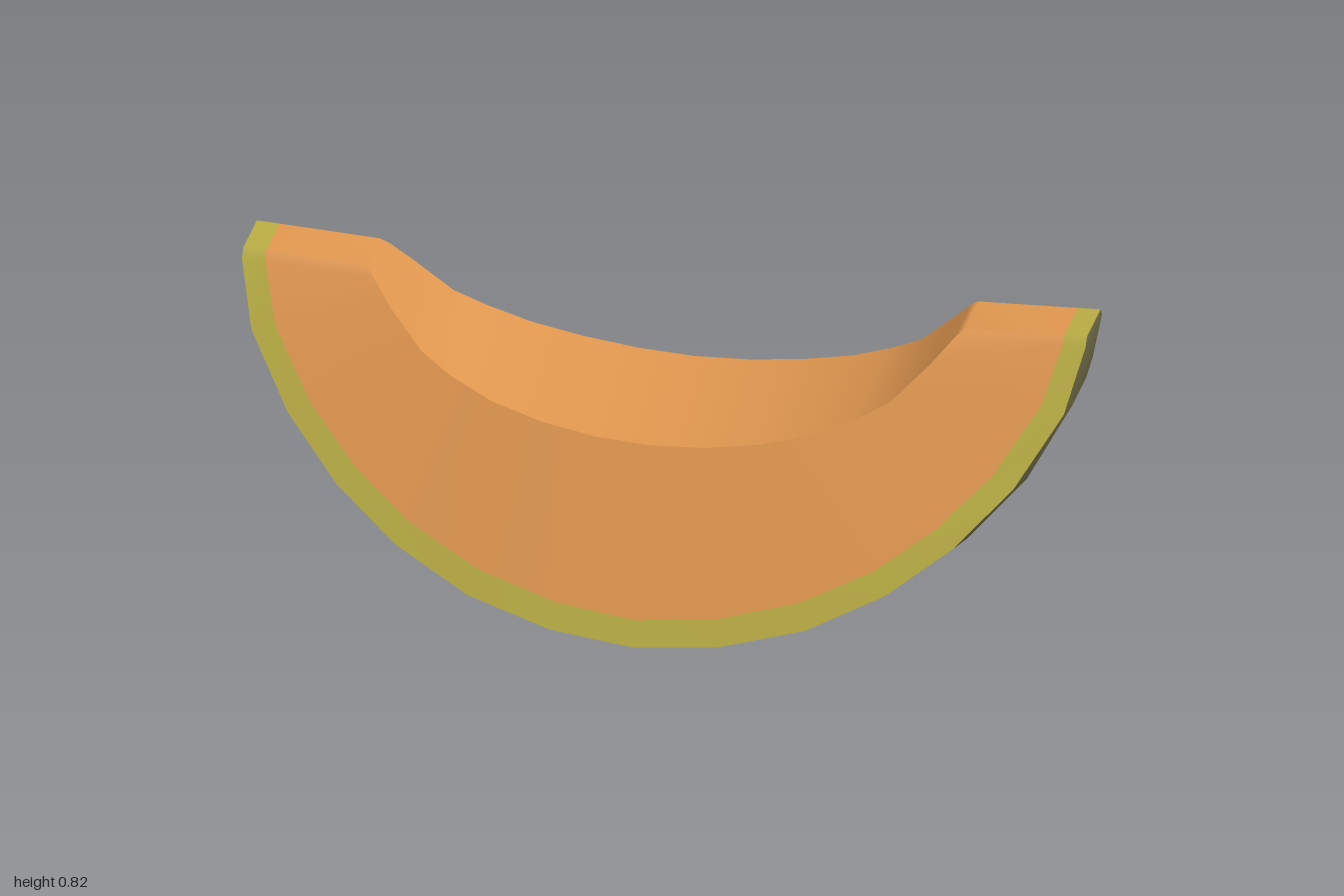
import * as THREE from 'three';

// Half of the wedge, from the middle (first) to the tip (last).
const outer = [[0, 0], [0.2, 0.022], [0.4, 0.083], [0.58, 0.177], [0.735, 0.305], [0.865, 0.455], [0.965, 0.64], [1, 0.8], [1, 0.823]];
const edge = [[0, 0.064], [0.2, 0.084], [0.4, 0.138], [0.58, 0.23], [0.73, 0.345], [0.86, 0.485], [0.963, 0.655], [1, 0.803], [1, 0.823]];
const edgeZ = [0.4, 0.392, 0.368, 0.33, 0.282, 0.22, 0.15, 0.085, 0.07];
const inner = [[0, 0.505], [0.13, 0.512], [0.26, 0.532], [0.38, 0.563], [0.48, 0.605], [0.555, 0.648], [0.64, 0.735], [0.69, 0.793], [0.71, 0.81]];
const innerZ = [0.23, 0.228, 0.22, 0.205, 0.184, 0.16, 0.122, 0.085, 0.07];
const TIP = 8;

// Cross-section at station s (-8 to 8): points named by role, with front and back z.
function section(s) {
  const i = Math.abs(s), side = Math.sign(s) || 1;
  const at = ([x, y], z) => new THREE.Vector3(side * x, y, z);
  const band = 0.135 + 0.05 * i / TIP;
  const ring = (z) => {
    const e = at(edge[i], z * edgeZ[i]), n = at(inner[i], z * innerZ[i]);
    return { outer: at(outer[i], z * edgeZ[i] * (i < 7 ? 0.5 : 0.6)), edge: e, band: e.clone().lerp(n, band), inner: n };
  };
  return { front: ring(1), back: ring(-1) };
}

// Smooth surface through rows of points; rows run along +x.
function surface(rows) {
  const n = rows[0].length, index = [];
  for (let r = 0; r < rows.length - 1; r++) {
    for (let c = 0; c < n - 1; c++) {
      const a = r * n + c, b = a + n;
      index.push(a, b, a + 1, b, b + 1, a + 1);
    }
  }
  const geometry = new THREE.BufferGeometry().setFromPoints(rows.flat());
  geometry.setIndex(index);
  geometry.computeVertexNormals();
  return geometry;
}

export function createModel() {
  const paint = (name, color) => Object.assign(new THREE.MeshStandardMaterial({ color }), { name });
  const skin = paint('dark green skin', 0x746f4a);
  const rind = paint('yellow green rind', 0xb8ac42);
  const flesh = paint('orange flesh', 0xe0974f);

  const group = new THREE.Group();
  group.name = 'melonSlice';
  const add = (name, rows, material) => {
    const mesh = new THREE.Mesh(surface(rows), material);
    mesh.name = name;
    group.add(mesh);
  };

  const sections = Array.from({ length: 2 * TIP + 1 }, (_, k) => section(k - TIP));
  const first = sections[0], last = sections[2 * TIP];
  const across = (s, role) => [s.front[role], s.back[role]];

  // Outer skin, wrapping under the wedge
  add('skin', sections.map(({ front, back }) => [back.edge, back.outer, front.outer, front.edge]), skin);

  // Cut faces: a rind band, then the flesh
  add('frontRind', sections.map(({ front }) => [front.edge, front.band]), rind);
  add('frontFlesh', sections.map(({ front }) => [front.band, front.inner]), flesh);
  add('backRind', sections.map(({ back }) => [back.band, back.edge]), rind);
  add('backFlesh', sections.map(({ back }) => [back.inner, back.band]), flesh);

  // Scooped hollow, running out over both tips
  add('hollowFlesh', [across(first, 'band'), ...sections.map((s) => across(s, 'inner')), across(last, 'band')], flesh);
  add('rightTipRind', [across(first, 'edge'), across(first, 'band')], rind);
  add('leftTipRind', [across(last, 'band'), across(last, 'edge')], rind);

  return group;
}
